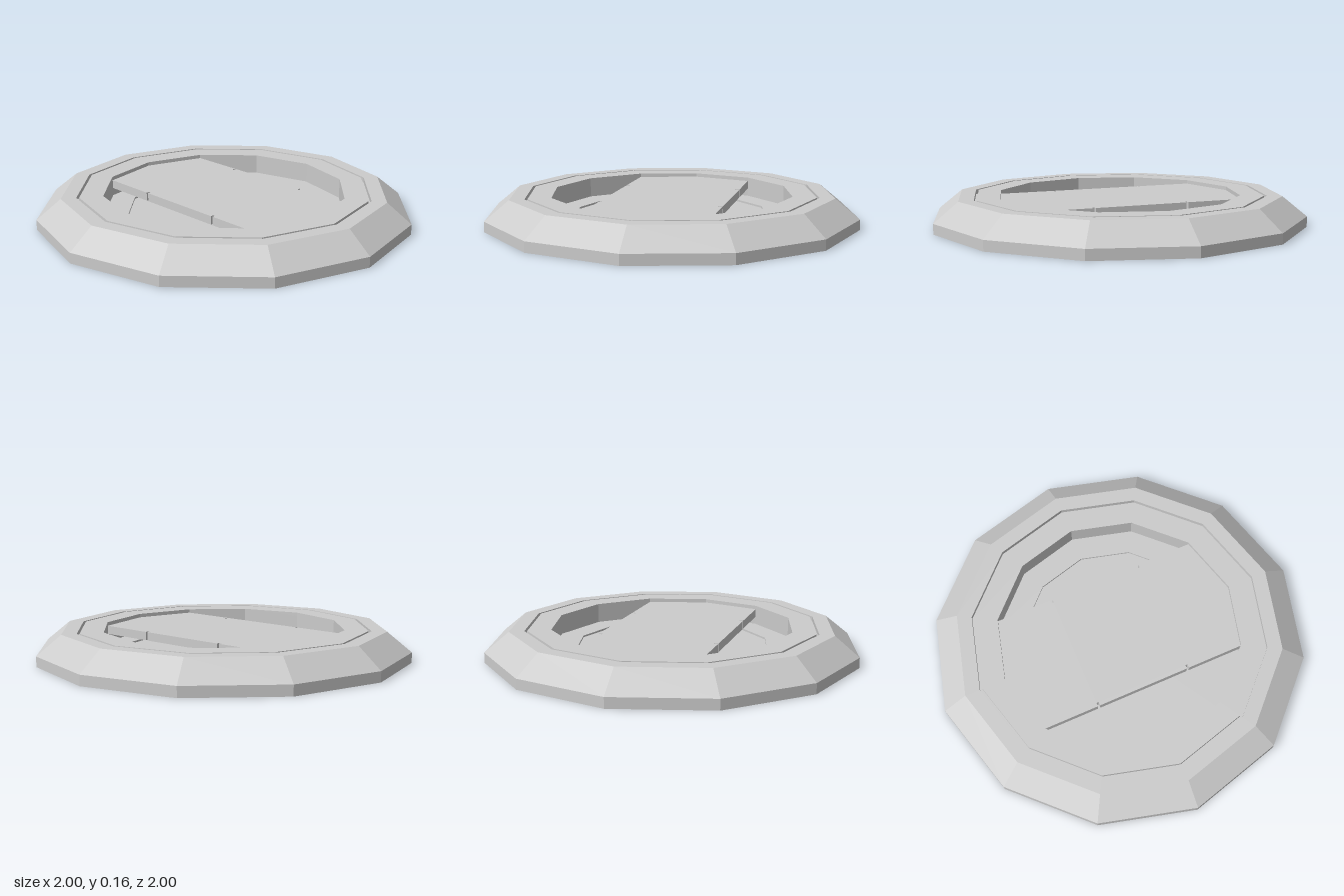
import * as THREE from 'three';

const SIDES = 12;
const RIM_Y = 0.16, BAR_TOP = 0.14, BAR_BOTTOM = 0.095, FLOOR_Y = 0.053;
const RECESS_R = 0.65;

const material = new THREE.MeshStandardMaterial({
  color: 0xcccccc, flatShading: true, side: THREE.DoubleSide,
});

function addMesh(group, name, geometry) {
  const mesh = new THREE.Mesh(geometry, material);
  mesh.name = name;
  group.add(mesh);
  return mesh;
}

// Faceted ring swept from [radius, height] pairs, listed from the inside out
function ring(profile, segments = SIDES, startDeg = 0) {
  const points = profile.map(([r, y]) => new THREE.Vector2(r, y));
  const step = (Math.PI * 2) / SIDES;
  return new THREE.LatheGeometry(
    points, segments, THREE.MathUtils.degToRad(startDeg), segments * step,
  ).toNonIndexed();
}

// One long edge of the bar, from -x to +x, with two small notches
function barEdge() {
  const halfX = RECESS_R * Math.cos(Math.PI / 6);
  const z = RECESS_R * 0.5;
  const notch = (x) => [[x - 0.006, z], [x - 0.006, z - 0.02], [x + 0.006, z - 0.02], [x + 0.006, z]];
  return [[-halfX, z], ...notch(-0.255), ...notch(0.255), [halfX, z]];
}

// Vertical strip along a path of [x, z] points
function wall(path, bottom, top) {
  const positions = [];
  for (let i = 0; i < path.length - 1; i++) {
    const [ax, az] = path[i], [bx, bz] = path[i + 1];
    positions.push(ax, bottom, az, bx, bottom, bz, bx, top, bz);
    positions.push(ax, bottom, az, bx, top, bz, ax, top, az);
  }
  const geometry = new THREE.BufferGeometry();
  geometry.setAttribute('position', new THREE.Float32BufferAttribute(positions, 3));
  geometry.computeVertexNormals();
  return geometry;
}

export function createModel() {
  const group = new THREE.Group();
  group.name = 'floorHatch';

  // Open-bottomed outer frame: short wall, bevel and flat top
  addMesh(group, 'outerFrame', ring([
    [0.79, RIM_Y], [0.87, RIM_Y], [1, 0.055], [1, 0],
  ].reverse()));

  // Thin groove between frame and lid
  addMesh(group, 'seamGroove', ring([
    [0.79, RIM_Y], [0.79, 0.135], [0.775, 0.135], [0.775, RIM_Y],
  ]));

  // Flat lid surface, with a short lip dropping into the recess
  addMesh(group, 'lidTop', ring([
    [0.775, RIM_Y], [RECESS_R, RIM_Y], [RECESS_R, BAR_TOP],
  ]));

  // Recess wall beside the bar, left open at the ends of the hollow bar
  for (const [name, start] of [['frontRecessWall', -60], ['backRecessWall', 120]]) {
    addMesh(group, name, ring([[RECESS_R, BAR_TOP], [RECESS_R, BAR_BOTTOM]], 4, start));
  }

  // Lower recess wall and floor with a shallow sunken centre
  addMesh(group, 'recessFloor', ring([
    [RECESS_R, BAR_BOTTOM], [RECESS_R, FLOOR_Y],
    [0.52, FLOOR_Y], [0.52, FLOOR_Y - 0.01], [0, FLOOR_Y - 0.01],
  ]));

  // Hollow handle bar across the recess
  const handle = new THREE.Group();
  handle.name = 'handleBar';
  group.add(handle);

  const front = barEdge();
  const back = front.map(([x, z]) => [-x, -z]);
  const outline = [...front, [RECESS_R, 0], ...back, [-RECESS_R, 0]];
  const shape = new THREE.Shape(outline.map(([x, z]) => new THREE.Vector2(x, -z)));
  for (const [name, y] of [['barTop', BAR_TOP], ['barUnderside', BAR_BOTTOM]]) {
    const sheet = new THREE.ShapeGeometry(shape).rotateX(-Math.PI / 2).translate(0, y, 0);
    addMesh(handle, name, sheet);
  }
  addMesh(handle, 'barFrontSide', wall(front, BAR_BOTTOM, BAR_TOP));
  addMesh(handle, 'barBackSide', wall(back, BAR_BOTTOM, BAR_TOP));

  return group;
}
